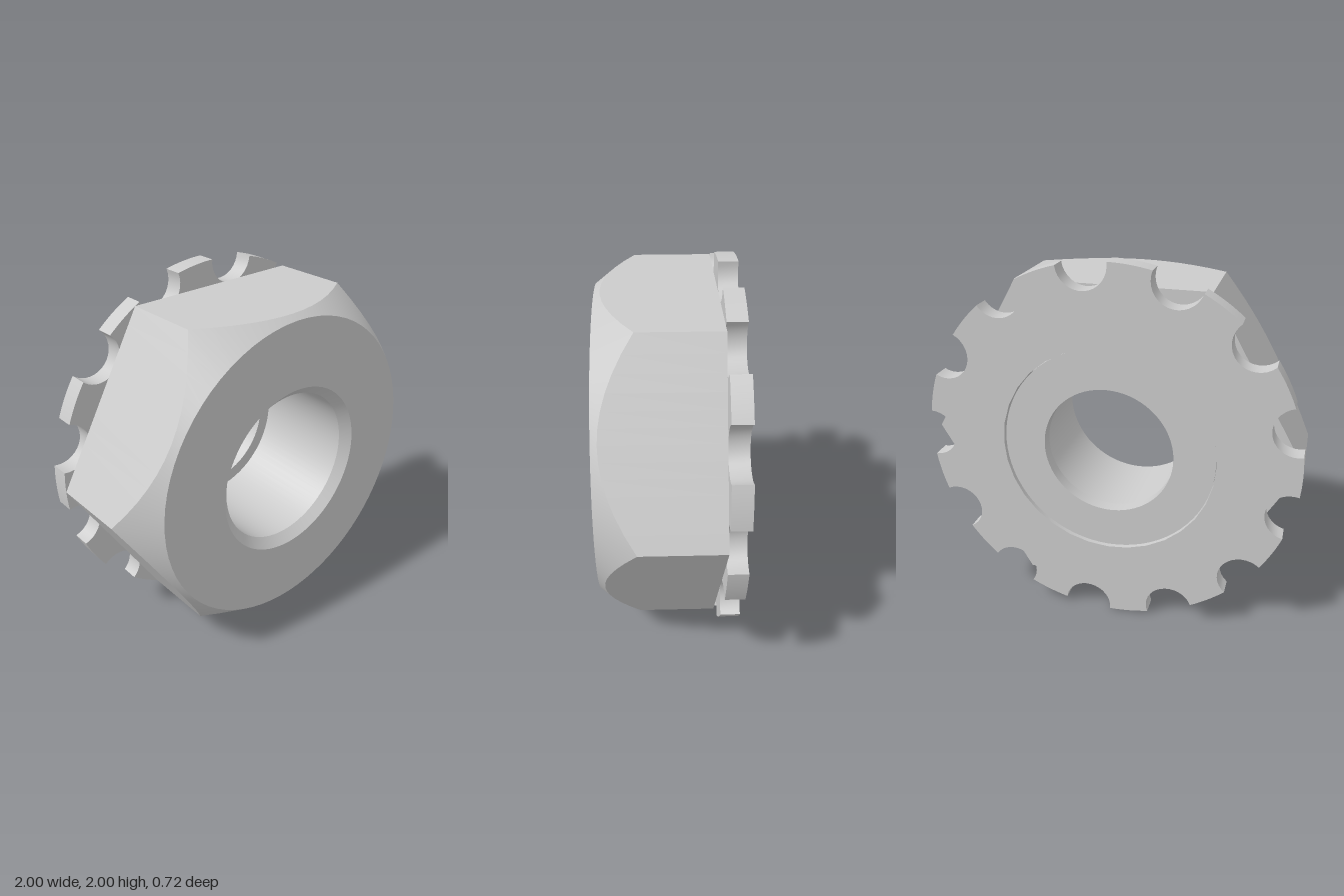
import * as THREE from 'three';
import { toCreasedNormals } from 'three/addons/utils/BufferGeometryUtils.js';

const material = new THREE.MeshStandardMaterial({ color: 0xcccccc });

// Sweeps a closed profile [[r, z], ...], which may vary with angle, around the z axis
function sweep(profileAt, segments) {
  const positions = [], indices = [];
  const n = profileAt(0).length;
  for (let i = 0; i < segments; i++) {
    const a = (i / segments) * Math.PI * 2;
    for (const [r, z] of profileAt(a)) positions.push(r * Math.cos(a), r * Math.sin(a), z);
  }
  for (let i = 0; i < segments; i++) {
    const p = i * n, q = ((i + 1) % segments) * n;
    for (let j = 0; j < n; j++) {
      const k = (j + 1) % n;
      indices.push(p + j, q + j, q + k, p + j, q + k, p + k);
    }
  }
  const g = new THREE.BufferGeometry();
  g.setAttribute('position', new THREE.Float32BufferAttribute(positions, 3));
  g.setIndex(indices);
  return toCreasedNormals(g, 0.4);
}

// Hexagonal body with conical corner chamfer, bore, inner lip and rear collar
function nutProfile(a) {
  const sector = Math.PI / 3;
  const hexR = Math.cos(sector / 2) / Math.cos((a % sector) - sector / 2);
  const chamferZ = 0.36 - 1.28 * (hexR - 0.84);
  return [
    [0.35, -0.34], [0.57, -0.34], [0.57, -0.26], // collar
    [hexR, -0.26], [hexR, chamferZ],             // hexagon sides
    [0.84, 0.36], [0.47, 0.36],                  // front face
    [0.42, 0.31], [0.42, -0.27], [0.35, -0.27],  // bore and lip
  ];
}

// Flat ring with round notches cut into its rim
function notchedWasher() {
  const count = 13, centre = 0.99, radius = 0.13;
  const half = Math.acos((1 + centre ** 2 - radius ** 2) / (2 * centre));
  const phi = Math.atan2(Math.sin(half), Math.cos(half) - centre);
  const step = (Math.PI * 2) / count;
  const shape = new THREE.Shape();
  for (let i = 0; i < count; i++) {
    const a = i * step;
    shape.absarc(centre * Math.cos(a), centre * Math.sin(a), radius, a - phi, a + phi, true);
    shape.absarc(0, 0, 1, a + half, a + step - half, false);
  }
  const hole = new THREE.Path();
  hole.absarc(0, 0, 0.575, 0, Math.PI, false);
  hole.absarc(0, 0, 0.575, Math.PI, Math.PI * 2, false);
  shape.holes.push(hole);
  const g = new THREE.ExtrudeGeometry(shape, { depth: 0.1, bevelEnabled: false, curveSegments: 8 });
  g.translate(0, 0, -0.36);
  return toCreasedNormals(g, 0.5);
}

export function createModel() {
  const group = new THREE.Group();
  group.name = 'lockNut';
  const add = (name, geometry) => {
    const mesh = new THREE.Mesh(geometry, material);
    mesh.name = name;
    mesh.position.y = 1;
    group.add(mesh);
  };
  add('hexNut', sweep(nutProfile, 72));
  add('notchedWasher', notchedWasher());
  return group;
}
